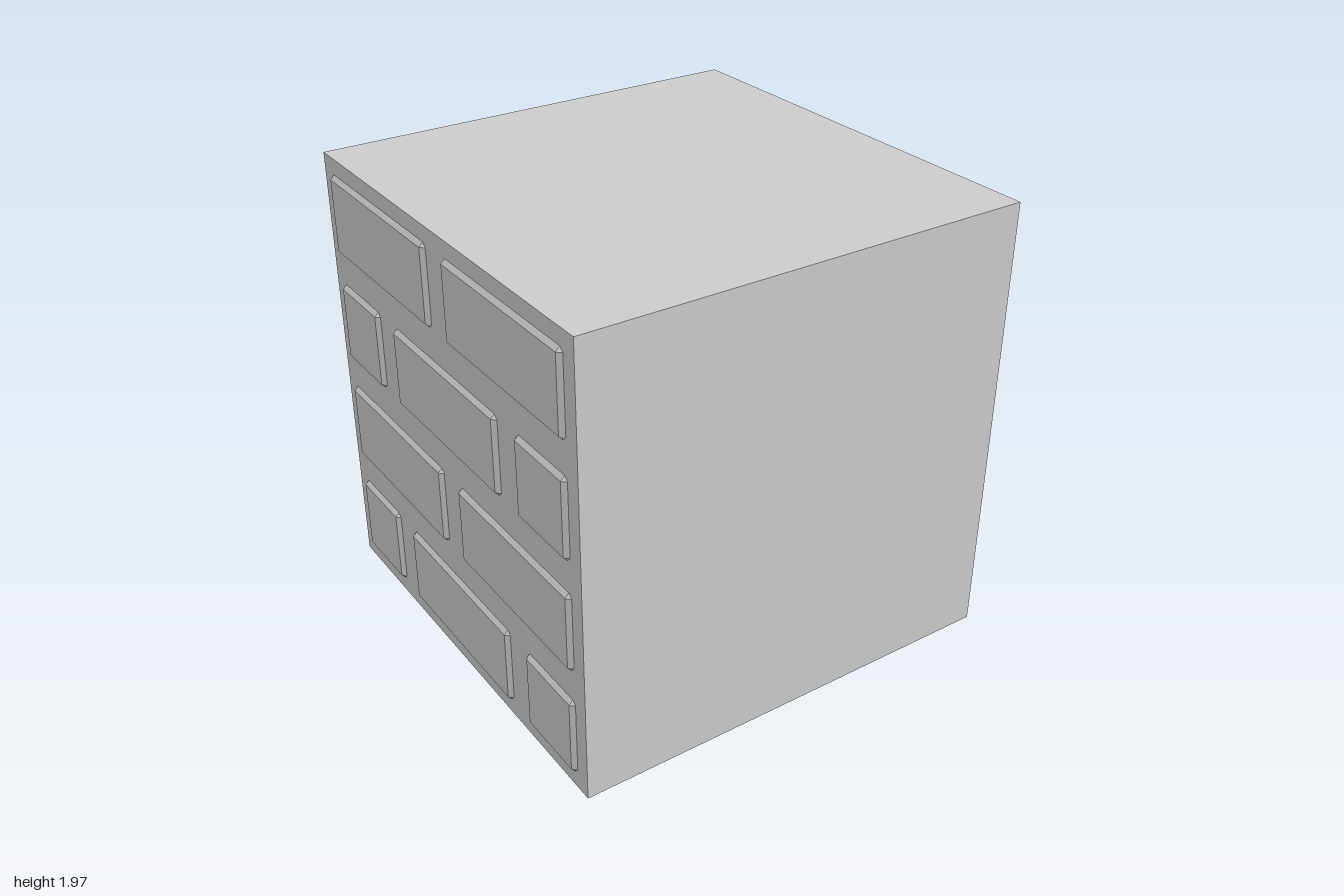
import * as THREE from 'three';
import { ConvexGeometry } from 'three/addons/geometries/ConvexGeometry.js';

const SIZE = 1.965;          // edge of the block
const UNIT = SIZE / 28;      // brick layout grid
const RELIEF = 1 - SIZE / 2; // how far bricks stand out, also the bevel width
const SINK = 0.03;           // how far bricks reach into the block

// Brick with chamfered edges and corners, outer face towards +z
function brickGeometry(width, height) {
  const w = width / 2, h = height / 2, b = RELIEF;
  const points = [];
  for (const sx of [-1, 1]) for (const sy of [-1, 1]) {
    points.push(new THREE.Vector3(sx * (w - b), sy * (h - b), b));
    for (const z of [0, -SINK]) {
      points.push(new THREE.Vector3(sx * w, sy * (h - b), z));
      points.push(new THREE.Vector3(sx * (w - b), sy * h, z));
    }
  }
  return new ConvexGeometry(points);
}

export function createModel() {
  const model = new THREE.Group();
  model.name = 'brickBlock';
  const material = new THREE.MeshStandardMaterial({ color: 0xcccccc, flatShading: true });

  // Solid core
  const block = new THREE.Mesh(new THREE.BoxGeometry(SIZE, SIZE, SIZE), material);
  block.name = 'block';
  block.position.y = SIZE / 2;
  model.add(block);

  // Alternating courses: [start, width] in grid units
  const courses = [
    [[1, 5], [8, 12], [22, 5]],
    [[1, 12], [15, 12]],
  ];
  const long = brickGeometry(12 * UNIT, 5 * UNIT);
  const short = brickGeometry(5 * UNIT, 5 * UNIT);

  // The same brick wall on the left and right faces
  for (const side of [1, -1]) {
    const wall = new THREE.Group();
    wall.name = side > 0 ? 'leftBrickWall' : 'rightBrickWall';
    for (let row = 0; row < 4; row++) {
      for (const [start, width] of courses[row % 2]) {
        const brick = new THREE.Mesh(width === 12 ? long : short, material);
        brick.name = width === 12 ? 'brick' : 'halfBrick';
        brick.position.set((start + width / 2 - 14) * UNIT, (row * 7 + 3.5) * UNIT, SIZE / 2);
        wall.add(brick);
      }
    }
    wall.rotation.y = side * Math.PI / 2;
    model.add(wall);
  }
  return model;
}
